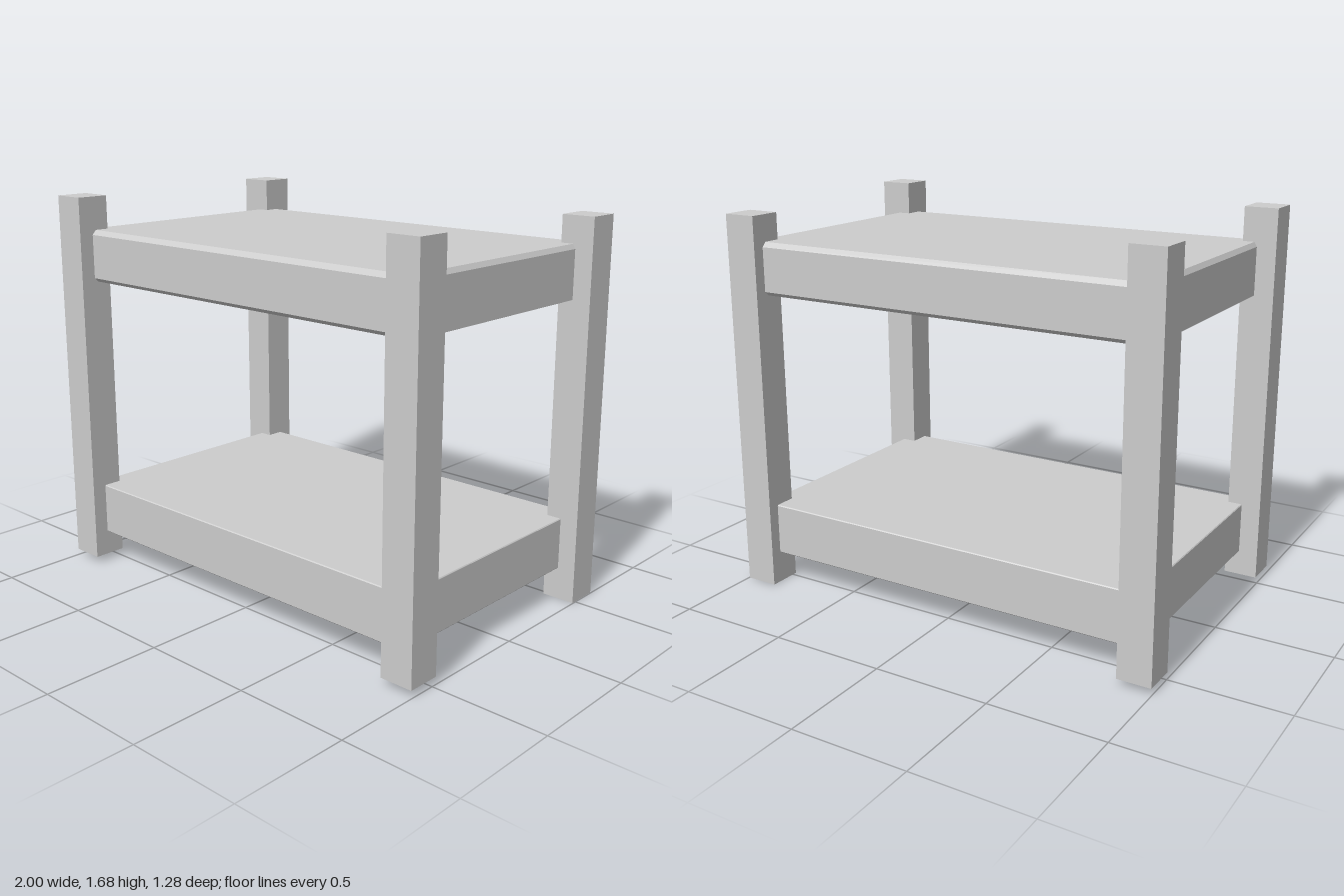
import * as THREE from 'three';

// Closed solid from stacked rectangles [halfX, halfZ, y], bottom to top
function stackedSlab(rings) {
  const pos = [], idx = [];
  for (const [hx, hz, y] of rings) {
    pos.push(-hx, y, hz, hx, y, hz, hx, y, -hz, -hx, y, -hz);
  }
  for (let r = 0; r < rings.length - 1; r++) {
    for (let i = 0; i < 4; i++) {
      const a = r * 4 + i, b = r * 4 + (i + 1) % 4;
      idx.push(a, b, b + 4, a, b + 4, a + 4);
    }
  }
  const t = (rings.length - 1) * 4;
  idx.push(0, 2, 1, 0, 3, 2, t, t + 1, t + 2, t, t + 2, t + 3);
  const indexed = new THREE.BufferGeometry();
  indexed.setAttribute('position', new THREE.Float32BufferAttribute(pos, 3));
  indexed.setIndex(idx);
  const geo = indexed.toNonIndexed();
  geo.computeVertexNormals();
  return geo;
}

export function createModel() {
  const group = new THREE.Group();
  const grey = new THREE.MeshStandardMaterial({ color: 0xcccccc });
  grey.name = 'plain grey';

  const add = (name, geo, x = 0, y = 0, z = 0) => {
    const mesh = new THREE.Mesh(geo, grey);
    mesh.name = name;
    mesh.position.set(x, y, z);
    group.add(mesh);
  };

  // Square posts, each set slightly out of line: name, x, base y, z
  const width = 0.146, height = 1.65;
  const post = new THREE.BoxGeometry(width, height, width);
  const posts = [
    ['backRightPost', -0.927, 0.03, -0.568],
    ['frontRightPost', -0.924, 0.03, 0.562],
    ['backLeftPost', 0.924, 0, -0.554],
    ['frontLeftPost', 0.924, 0.03, 0.547],
  ];
  for (const [name, x, y, z] of posts) add(name, post, x, y + height / 2, z);

  // Upper shelf: chamfered all round the top and along the long lower edges
  add('upperShelf', stackedSlab([
    [0.915, 0.555, 1.308],
    [0.915, 0.573, 1.325],
    [0.915, 0.573, 1.515],
    [0.903, 0.555, 1.535],
  ]), 0.002, 0, -0.003);

  // Lower shelf: only a hairline chamfer
  add('lowerShelf', stackedSlab([
    [0.912, 0.569, 0.138],
    [0.915, 0.573, 0.142],
    [0.915, 0.573, 0.361],
    [0.912, 0.569, 0.365],
  ]), 0.002, 0, -0.003);

  return group;
}
